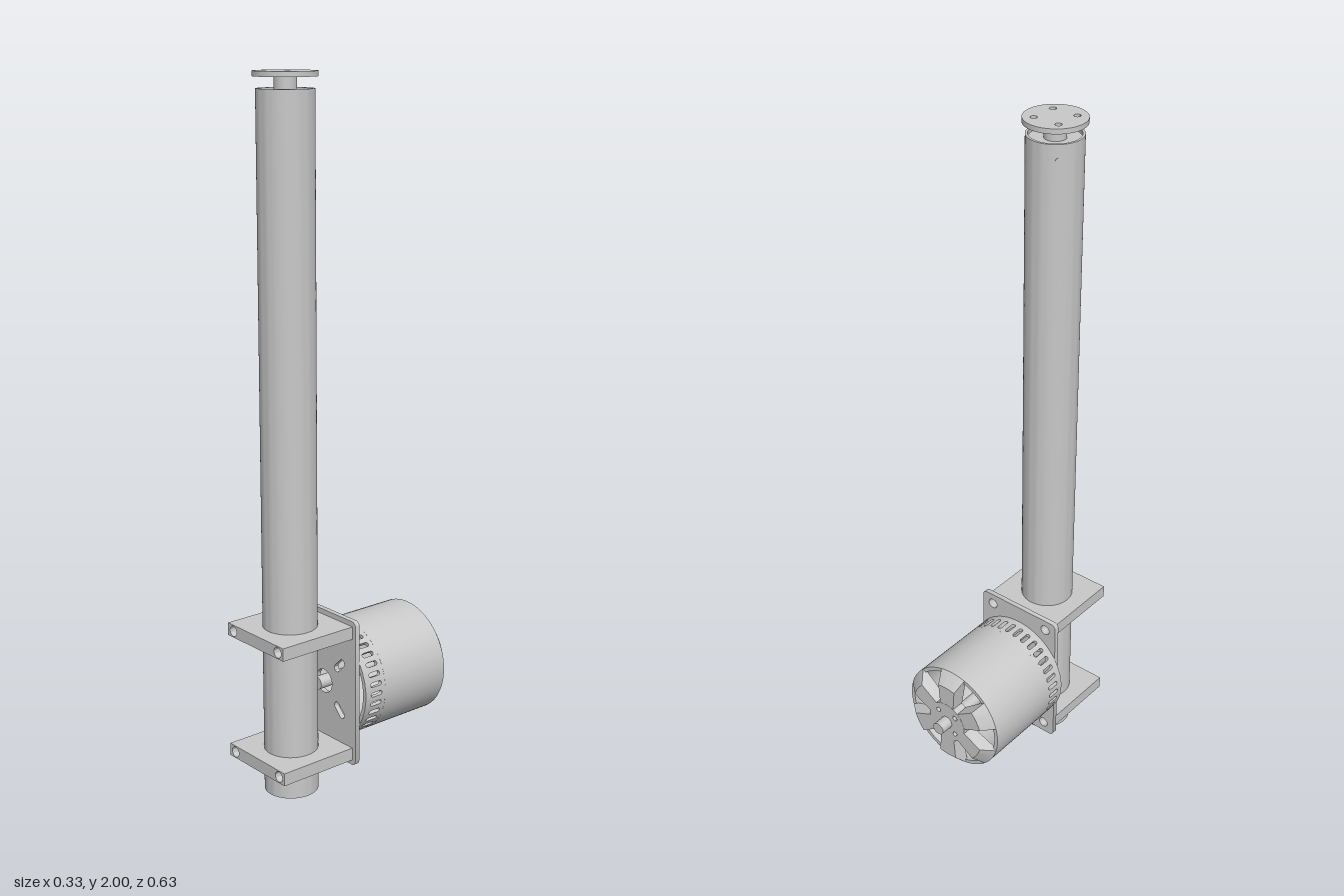
import * as THREE from 'three';
import { mergeGeometries, toCreasedNormals } from 'three/addons/utils/BufferGeometryUtils.js';

const TUBE_Z = 0.192, MOTOR_Y = 0.291, R = 0.166, WALL = 0.012;

export function createModel() {
  const model = new THREE.Group();
  const metal = new THREE.MeshStandardMaterial({ color: 0xc8c8c8 });
  metal.name = 'light grey metal';

  const add = (parent, name, geo, x = 0, y = 0, z = 0) => {
    const mesh = new THREE.Mesh(geo, metal);
    mesh.name = name;
    mesh.position.set(x, y, z);
    parent.add(mesh);
    return mesh;
  };
  const circle = (x, y, r) => new THREE.Path().absarc(x, y, r, 0, Math.PI * 2, true);
  const capsule = (x, y, half, r, angle) => { // slot outline: two half circles
    const dx = Math.cos(angle) * half, dy = Math.sin(angle) * half;
    return new THREE.Path()
      .absarc(x + dx, y + dy, r, angle - Math.PI / 2, angle + Math.PI / 2, false)
      .absarc(x - dx, y - dy, r, angle + Math.PI / 2, angle + Math.PI * 1.5, false);
  };
  const rect = (x0, y0, x1, y1) => new THREE.Shape(
    [[x0, y0], [x1, y0], [x1, y1], [x0, y1]].map(p => new THREE.Vector2(...p)));
  const extrude = (shape, depth) => toCreasedNormals(new THREE.ExtrudeGeometry(shape,
    { depth, bevelEnabled: false, curveSegments: 16 }), 0.6);
  const upright = (shape, depth) => extrude(shape, depth).rotateX(-Math.PI / 2);
  const lathe = (points, segments) => toCreasedNormals(new THREE.LatheGeometry(
    points.map(p => new THREE.Vector2(...p)), segments), 0.6);

  // Long hollow tube with its output shaft and flange
  const column = new THREE.Group();
  column.name = 'column';
  column.position.z = TUBE_Z;
  model.add(column);
  add(column, 'tube', lathe([[0.07, 0], [0.077, 0], [0.077, 1.956], [0.07, 1.956], [0.07, 0]], 64));
  add(column, 'bearing', new THREE.CylinderGeometry(0.07, 0.07, 0.05, 48), 0, 1.92);
  add(column, 'outputShaft', new THREE.CylinderGeometry(0.03, 0.03, 0.06, 32), 0, 1.957);
  const flange = new THREE.Shape().absarc(0, 0, 0.0855, 0, Math.PI * 2, false);
  for (const x of [-1, 1]) for (const y of [-1, 1]) flange.holes.push(circle(x * 0.039, y * 0.039, 0.0095));
  add(column, 'flange', upright(flange, 0.014), 0, 1.986);
  for (const s of [-1, 1]) {
    const pin = add(column, 'crossPin', new THREE.CylinderGeometry(0.01, 0.01, 0.003, 20).rotateX(Math.PI / 2),
      s * 0.0539, 1.911, s * 0.0539);
    pin.rotation.y = s > 0 ? Math.PI / 4 : -Math.PI * 0.75;
  }

  // Two clamps around the tube, bored for long bolts
  for (const y of [0.089, 0.457]) {
    const clamp = new THREE.Group();
    clamp.name = 'clamp';
    model.add(clamp);
    const middle = rect(-0.08, -0.315, 0.08, -0.07);
    middle.holes.push(circle(0, -TUBE_Z, 0.0768));
    add(clamp, 'clampMiddle', upright(middle, 0.037), 0, y);
    for (const s of [-1, 1]) {
      const side = rect(-0.0225, 0, 0.0225, 0.037);
      side.holes.push(circle(-s * 0.0025, 0.0185, 0.0155));
      add(clamp, 'clampSide', extrude(side, 0.245), s * 0.1025, y, 0.07);
    }
  }

  // Mounting plate with rounded corners, bolt holes and diagonal slots
  const w = 0.138, y0 = 0.074, y1 = 0.509, c = 0.015;
  const plate = new THREE.Shape()
    .absarc(w - c, y0 + c, c, -Math.PI / 2, 0, false)
    .absarc(w - c, y1 - c, c, 0, Math.PI / 2, false)
    .absarc(-w + c, y1 - c, c, Math.PI / 2, Math.PI, false)
    .absarc(-w + c, y0 + c, c, Math.PI, Math.PI * 1.5, false);
  plate.holes.push(circle(0, MOTOR_Y, 0.035));
  for (const x of [-1, 1]) for (const y of [-1, 1]) {
    plate.holes.push(circle(x * 0.1, y > 0 ? 0.4755 : 0.1075, 0.0155));
    plate.holes.push(capsule(x * 0.068, MOTOR_Y + y * 0.068, 0.015, 0.011, Math.PI / 4 * x * y));
  }
  add(model, 'mountingPlate', extrude(plate, 0.015), 0, 0, 0.055);

  // Motor: modelled along its axis (z), open at the front
  const motor = new THREE.Group();
  motor.name = 'motor';
  motor.position.set(0, MOTOR_Y, 0.002);
  model.add(motor);
  const bell = lathe([[R - WALL, 0.02], [R, 0.02], [R, 0.249], [R - WALL, 0.249], [R - WALL, 0.02]], 72);
  add(motor, 'bell', bell.rotateX(-Math.PI / 2));

  // Ring of vent slots: one slotted panel bent to the wall, repeated
  const step = Math.PI / 18;
  const panel = rect(-step / 2 * R, -0.053, step / 2 * R, 0.02);
  panel.holes.push(capsule(0, -0.0135, 0.0135, 0.0065, Math.PI / 2));
  const panelGeo = new THREE.ExtrudeGeometry(panel, { depth: WALL, bevelEnabled: false, curveSegments: 6 });
  const pos = panelGeo.attributes.position;
  for (let i = 0; i < pos.count; i++) {
    const a = pos.getX(i) / R, r = R - WALL + pos.getZ(i);
    pos.setXYZ(i, r * Math.sin(a), r * Math.cos(a), -pos.getY(i));
  }
  const panels = Array.from({ length: 36 }, (_, i) => panelGeo.clone().rotateZ(i * step));
  add(motor, 'ventRing', toCreasedNormals(mergeGeometries(panels), 0.6));

  // Rear spider: six chamfered spokes that flare at the rim
  const profile = new THREE.Shape([[0.05, 0.242], [R - 0.002, 0.242], [R, 0.249], [0.13, 0.28], [0.05, 0.28]]
    .map(p => new THREE.Vector2(...p)));
  const spoke = new THREE.ExtrudeGeometry(profile, { depth: 2, steps: 6, bevelEnabled: false });
  const sp = spoke.attributes.position;
  for (let i = 0; i < sp.count; i++) {
    const r = sp.getX(i), half = 0.03 + (r - 0.13) * (r > 0.13 ? 0.4 : 0.07);
    const a = (1 - sp.getZ(i)) * half / r;
    sp.setXYZ(i, r * Math.sin(a), r * Math.cos(a), -sp.getY(i));
  }
  const spokeGeo = toCreasedNormals(spoke, 0.4);
  for (let i = 0; i < 6; i++) add(motor, 'spoke', spokeGeo).rotation.z = i * Math.PI / 3;

  // Hub with screw holes and the shaft through it
  const hub = new THREE.Shape().absarc(0, 0, 0.066, 0, Math.PI * 2, false);
  for (let i = 0; i < 4; i++) {
    const a = Math.PI / 4 + i * Math.PI / 2;
    hub.holes.push(circle(0.044 * Math.cos(a), 0.044 * Math.sin(a), 0.008));
  }
  add(motor, 'hub', extrude(hub, 0.039), 0, 0, -0.2805);
  add(motor, 'motorShaft', new THREE.CylinderGeometry(0.019, 0.019, 0.413, 32).rotateX(Math.PI / 2), 0, 0, -0.1125);
  return model;
}
